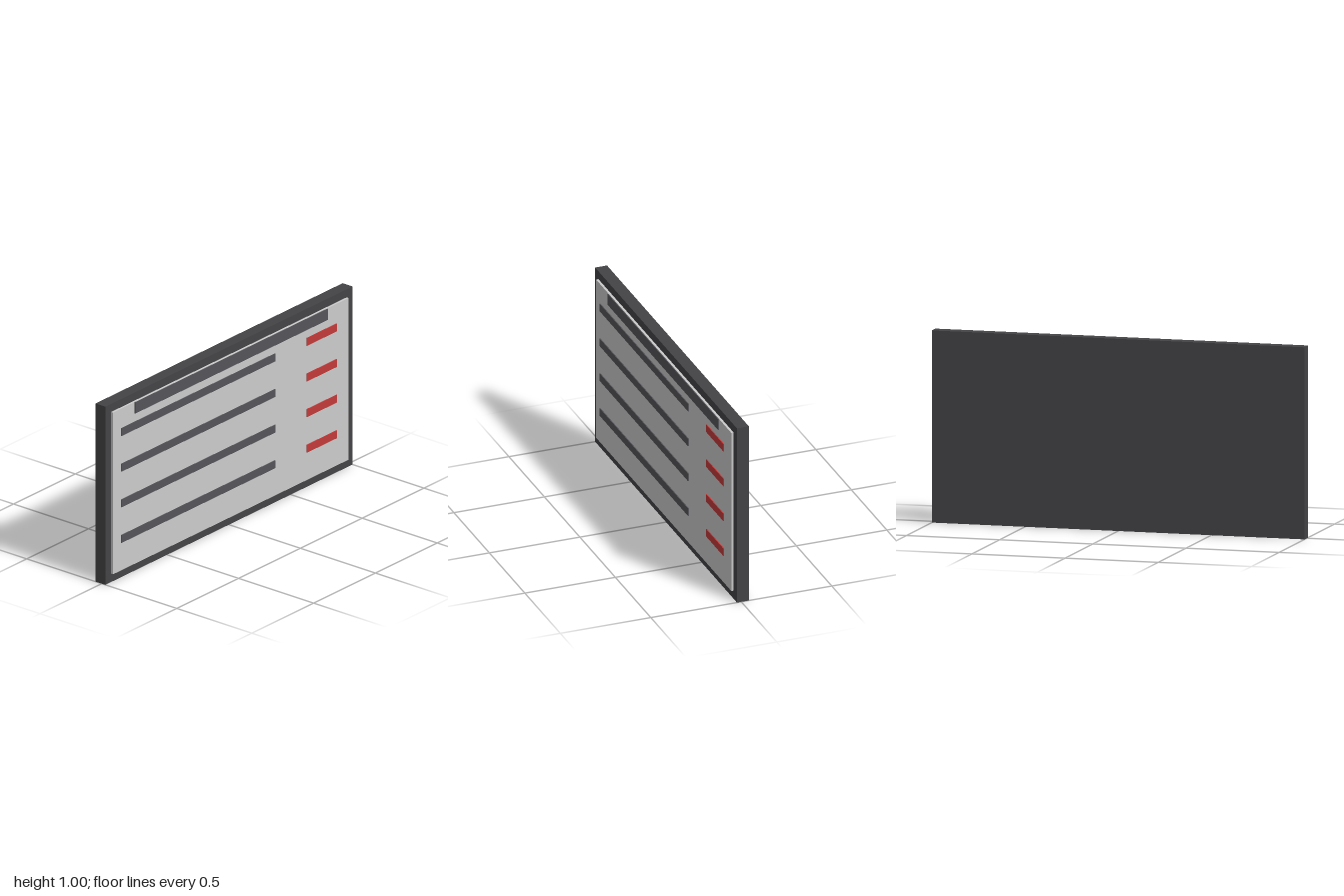
import * as THREE from 'three';

const paint = (color) => new THREE.MeshStandardMaterial({ color });

export function createModel() {
  const model = new THREE.Group();
  const frameMat = paint(0x444447);
  const panelMat = paint(0xcccccc);
  const barMat = paint(0x55555a);
  const redMat = paint(0xc43a3a);

  // Box given by its extents along each axis
  function slab(name, mat, [x0, x1], [y0, y1], [z0, z1]) {
    const mesh = new THREE.Mesh(new THREE.BoxGeometry(x1 - x0, y1 - y0, z1 - z0), mat);
    mesh.position.set((x0 + x1) / 2, (y0 + y1) / 2, (z0 + z1) / 2);
    mesh.name = name;
    model.add(mesh);
  }

  // Backing board and raised face panel
  slab('backBoard', frameMat, [-1, 1], [0, 1], [-0.042, 0.024]);
  slab('facePanel', panelMat, [-0.953, 0.953], [0.047, 0.955], [0.022, 0.037]);

  // Header strip along the top of the panel
  slab('headerStrip', barMat, [-0.778, 0.778], [0.892, 0.954], [0.035, 0.042]);

  // Four rows: a long dark line and a short red one
  for (let i = 0; i < 4; i++) {
    const y = 0.203 + i * 0.2;
    slab(`rowLine${i + 1}`, barMat, [-0.89, 0.355], [y, y + 0.043], [0.035, 0.042]);
    slab(`rowMarker${i + 1}`, redMat, [0.61, 0.853], [y, y + 0.043], [0.035, 0.042]);
  }
  return model;
}
